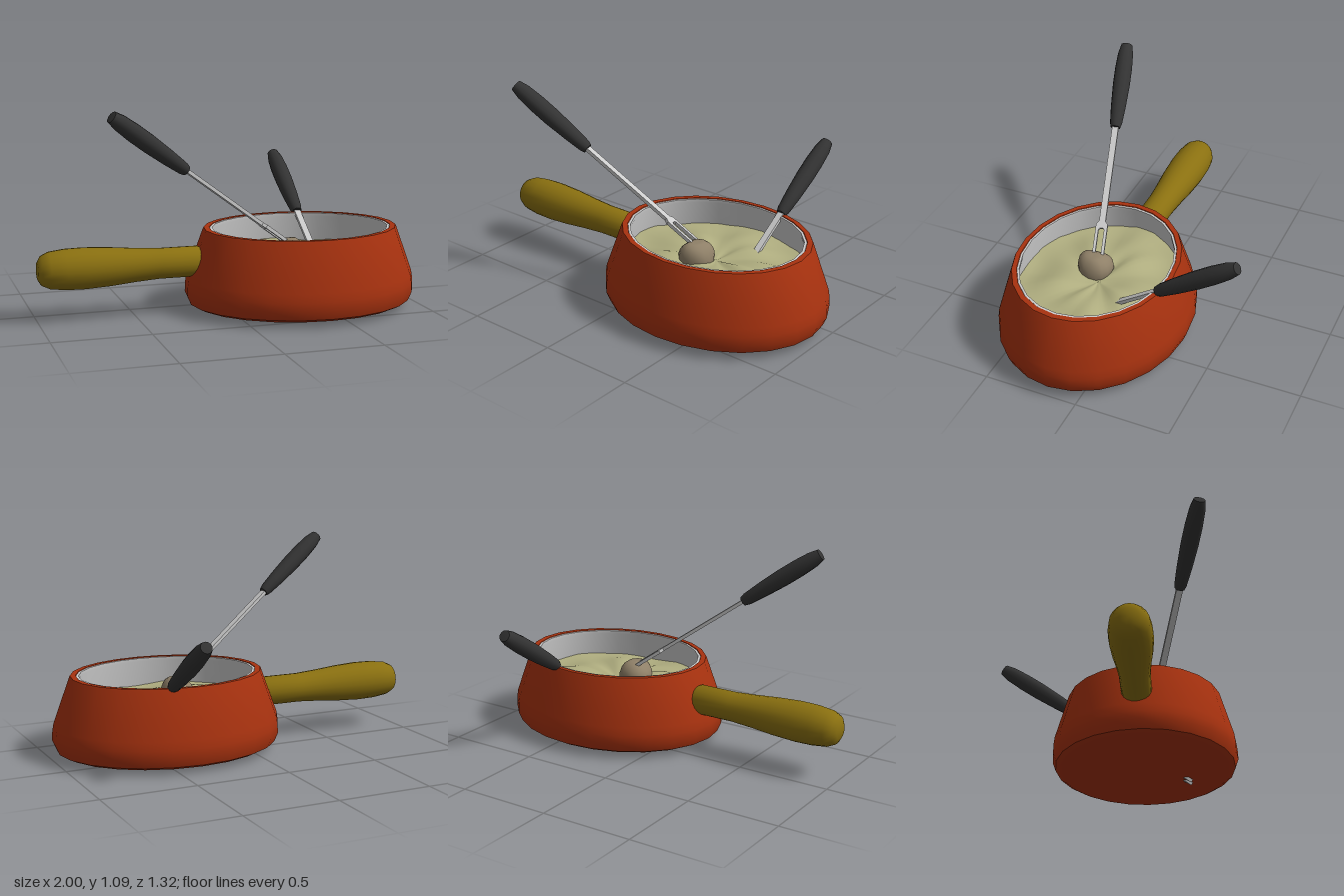
import * as THREE from 'three';
import { toCreasedNormals } from 'three/addons/utils/BufferGeometryUtils.js';

const CENTRE = new THREE.Vector3(0.385, 0, 0.16); // pot axis
const OVAL = 1.23; // the pot is wider along x

const material = (color, options = {}) => new THREE.MeshStandardMaterial({ color, ...options });
const red = material(0xa8320f);
const mustard = material(0x8a7010);
const black = material(0x333333);
const metal = material(0xcccccc, { side: THREE.DoubleSide });
const cheese = material(0xb0ae80, { side: THREE.DoubleSide });
const bread = material(0x8f8068);

function part(name, geometry, mat) {
  const mesh = new THREE.Mesh(geometry, mat);
  mesh.name = name;
  return mesh;
}

// Turned shape from [radius, height] pairs listed upwards along the outside
function lathe(points, sides) {
  const geometry = new THREE.LatheGeometry(points.map(([r, y]) => new THREE.Vector2(r, y)), sides);
  return toCreasedNormals(geometry, 0.7);
}

// Rippled surface of the melted cheese
function cheeseGeometry() {
  const geometry = new THREE.RingGeometry(0, 0.41, 48, 12);
  geometry.rotateX(-Math.PI / 2);
  const p = geometry.attributes.position;
  for (let i = 0; i < p.count; i++) {
    const x = p.getX(i), z = p.getZ(i);
    const r = Math.hypot(x, z) / 0.41, a = Math.atan2(z, x);
    const swirl = Math.sin(5 * a + 4 * r) + 0.6 * Math.sin(9 * a - 3 * r);
    p.setY(i, 0.28 + 0.011 * swirl * r * (1.3 - r) * 2 - 0.012 * Math.cos(7 * r));
  }
  geometry.computeVertexNormals();
  return geometry;
}

// Irregular lump: a sphere squashed and narrowed by a smooth rule
function lumpGeometry() {
  const geometry = new THREE.SphereGeometry(1, 16, 12);
  const p = geometry.attributes.position;
  for (let i = 0; i < p.count; i++) {
    const x = p.getX(i), y = p.getY(i), z = p.getZ(i);
    const k = 1 + 0.08 * Math.sin(3 * x + 2 * z) + 0.05 * Math.sin(4 * z - 2 * y);
    p.setXYZ(i, x * k * 0.092, Math.min(y * k, 0.9) * 0.095, z * k * 0.095);
  }
  geometry.computeVertexNormals();
  return geometry;
}

// Fork with its tines at the origin and its handle up the y axis, laid from tip to end
function fork(name, tip, end) {
  const group = new THREE.Group();
  group.name = name;
  const half = [[0.017, 0.8], [0.017, 0.225], [0.031, 0.205], [0.031, 0.03], [0.023, 0],
    [0.015, 0.03], [0.015, 0.175], [0.008, 0.185]];
  const outline = [...half, ...half.map(([x, y]) => [-x, y]).reverse()];
  const shape = new THREE.Shape(outline.map(([x, y]) => new THREE.Vector2(x, y)));
  const steel = new THREE.ExtrudeGeometry(shape, { depth: 0.018, bevelEnabled: false });
  steel.translate(0, 0, -0.009);
  group.add(part('shaftAndTines', steel, metal));

  const grip = lathe([[0, 0.765], [0.026, 0.765], [0.033, 0.79], [0.041, 0.89], [0.047, 1.02],
    [0.047, 1.12], [0.042, 1.21], [0.031, 1.262], [0, 1.265]], 12);
  group.add(part('grip', grip, black));

  const up = end.clone().sub(tip).normalize();
  const across = new THREE.Vector3(up.z, 0, -up.x).normalize();
  const thick = across.clone().cross(up);
  group.quaternion.setFromRotationMatrix(new THREE.Matrix4().makeBasis(across, up, thick));
  group.position.copy(tip);
  return group;
}

export function createModel() {
  const model = new THREE.Group();
  model.name = 'fonduePot';

  // Oval vessel with its liner and contents
  const vessel = new THREE.Group();
  vessel.name = 'vessel';
  vessel.position.copy(CENTRE);
  vessel.scale.x = OVAL;
  vessel.add(part('pot', lathe([[0, 0.025], [0.458, 0.025], [0.484, 0.04], [0.5, 0.085],
    [0.499, 0.13], [0.493, 0.175], [0.422, 0.415], [0.418, 0.425], [0.394, 0.425], [0.391, 0.415]], 24), red));
  vessel.add(part('liner', lathe([[0.396, 0.41], [0.392, 0.422], [0.381, 0.422], [0.381, 0.405],
    [0.415, 0.25], [0.42, 0.07], [0, 0.06]], 24), metal));
  vessel.add(part('cheese', cheeseGeometry(), cheese));
  model.add(vessel);

  // Thick side handle, turned about the x axis
  const handle = part('panHandle', lathe([[0, 0.15], [0.07, 0.152], [0.079, 0.17], [0.079, 0.38],
    [0.087, 0.5], [0.099, 0.63], [0.106, 0.76], [0.104, 0.86], [0.094, 0.94], [0.075, 0.98],
    [0.045, 0.998], [0, 1]], 20), mustard);
  handle.rotation.z = Math.PI / 2;
  handle.position.set(0, 0.265, 0.135);
  model.add(handle);

  // Speared morsel
  const lump = part('morsel', lumpGeometry(), bread);
  lump.position.set(0.3, 0.285, 0.215);
  model.add(lump);

  // Two forks
  model.add(fork('morselFork', new THREE.Vector3(0.315, 0.335, 0.2), new THREE.Vector3(-0.685, 1.06, 0.475)));
  model.add(fork('restingFork', new THREE.Vector3(0.513, 0.005, 0.41), new THREE.Vector3(0.513, 0.702, -0.642)));

  return model;
}
